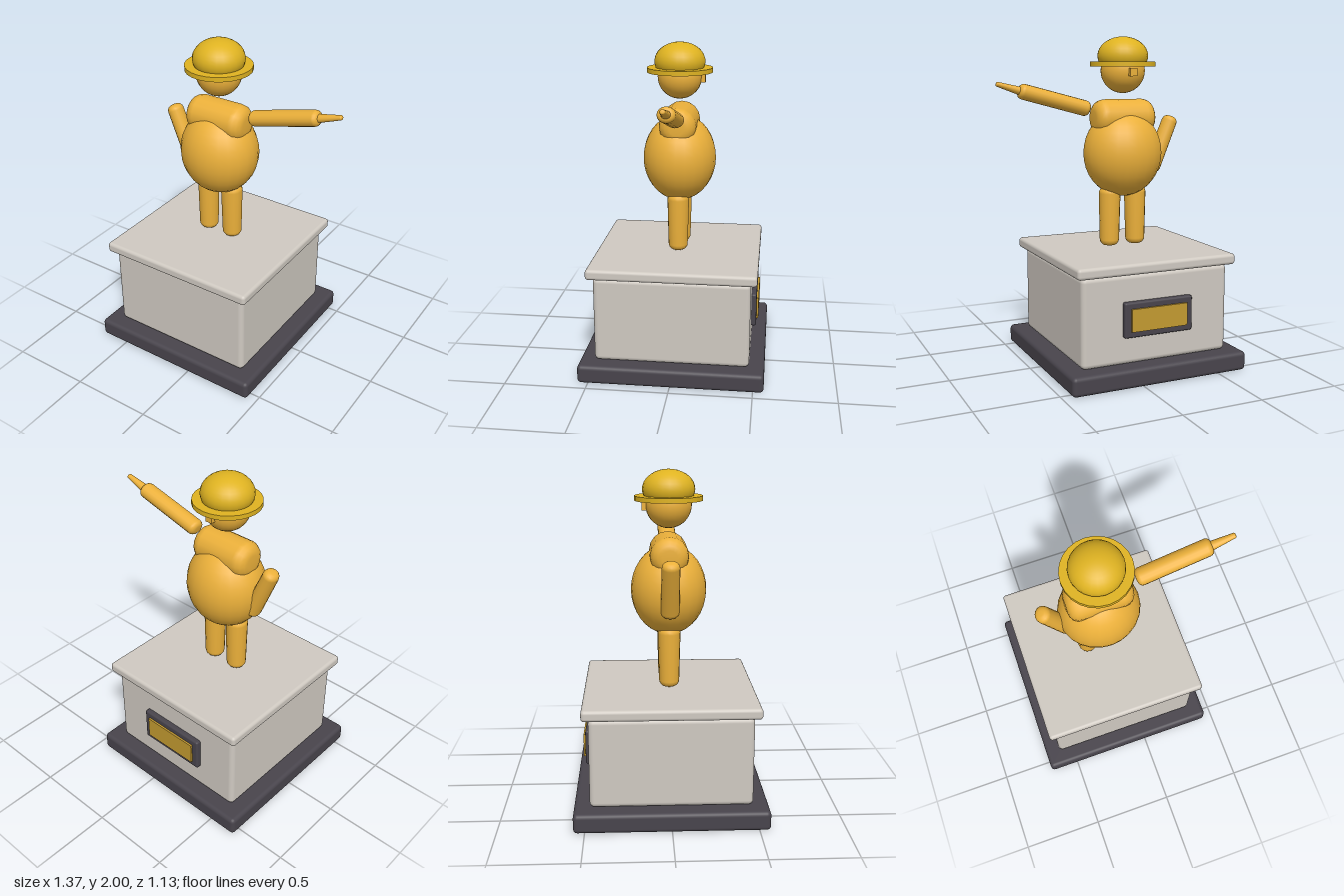
import * as THREE from 'three';
import { RoundedBoxGeometry } from 'three/addons/geometries/RoundedBoxGeometry.js';

const CX = -0.12; // axis of the pedestal and figure

const mat = (color) => new THREE.MeshStandardMaterial({ color });
const dark = mat(0x48444c), stone = mat(0xcfc9c1), gold = mat(0xebb03a);
const hatGold = mat(0xdfb321), plateGold = mat(0xc39a30);

export function createModel() {
  const model = new THREE.Group();
  model.name = 'statue';

  const add = (name, geometry, material, x, y, z) => {
    const mesh = new THREE.Mesh(geometry, material);
    mesh.name = name;
    mesh.position.set(x, y, z);
    model.add(mesh);
    return mesh;
  };

  // Box with softened edges, given by its bottom and top heights
  const slab = (name, material, w, y0, y1, d, z, r) =>
    add(name, new RoundedBoxGeometry(w, y1 - y0, d, 3, r), material, CX, (y0 + y1) / 2, z);

  // Tapered rod with rounded rims running from point a to point b
  const rod = (name, a, b, ra, rb, round, depth = 1) => {
    const from = new THREE.Vector3(...a), to = new THREE.Vector3(...b);
    const dir = to.clone().sub(from), len = dir.length();
    const profile = [new THREE.Vector2(0, 0)];
    for (let i = 0; i <= 4; i++) {
      const t = (i / 4) * Math.PI / 2, k = round * ra;
      profile.push(new THREE.Vector2(ra - k + k * Math.sin(t), k - k * Math.cos(t)));
    }
    for (let i = 0; i <= 4; i++) {
      const t = (i / 4) * Math.PI / 2, k = round * rb;
      profile.push(new THREE.Vector2(rb - k + k * Math.cos(t), len - k + k * Math.sin(t)));
    }
    profile.push(new THREE.Vector2(0, len));
    const mesh = add(name, new THREE.LatheGeometry(profile, 16), gold, ...a);
    mesh.quaternion.setFromUnitVectors(new THREE.Vector3(0, 1, 0), dir.normalize());
    mesh.scale.z = depth;
  };

  const ellipsoid = (name, material, y, rx, ry, rz) =>
    add(name, new THREE.SphereGeometry(1, 24, 18), material, CX, y, 0).scale.set(rx, ry, rz);

  // Pedestal
  slab('base', dark, 1.13, 0, 0.115, 1.13, 0, 0.025);
  slab('pedestalBlock', stone, 0.945, 0.115, 0.65, 0.945, 0, 0.03);
  slab('pedestalCap', stone, 1.02, 0.65, 0.715, 1.02, 0, 0.02);

  // Plaque on the back face
  slab('plaqueFrame', dark, 0.44, 0.28, 0.49, 0.05, -0.478, 0.012);
  add('plaquePlate', new THREE.BoxGeometry(0.36, 0.135, 0.03), plateGold, CX, 0.385, -0.5);

  // Legs, body and shoulders
  for (const s of [-1, 1]) {
    rod(s < 0 ? 'rightLeg' : 'leftLeg',
      [CX + s * 0.088, 0.725, 0], [CX + s * 0.086, 1.09, 0], 0.06, 0.067, 0.6);
  }
  ellipsoid('body', gold, 1.297, 0.245, 0.267, 0.224);
  rod('shoulders', [-0.315, 1.512, 0], [0.075, 1.512, 0], 0.113, 0.113, 0.6);

  // Arms: left one pointing out, right one lowered
  rod('leftArm', [0.105, 1.567, 0], [0.545, 1.683, 0], 0.047, 0.046, 0.6, 1.15);
  rod('leftHand', [0.53, 1.678, 0], [0.68, 1.722, 0], 0.024, 0.014, 0.6, 1.15);
  rod('rightArm', [-0.458, 1.512, 0], [-0.315, 1.175, 0], 0.047, 0.05, 0.7, 1.1);

  // Head and hat
  ellipsoid('head', gold, 1.796, 0.135, 0.135, 0.135);
  add('nose', new THREE.BoxGeometry(0.045, 0.047, 0.05), gold, CX, 1.787, -0.132);
  add('hatBrim', new THREE.CylinderGeometry(0.2, 0.2, 0.028, 24), hatGold, CX, 1.835, 0);
  ellipsoid('hatCrown', hatGold, 1.885, 0.154, 0.115, 0.154);

  return model;
}
